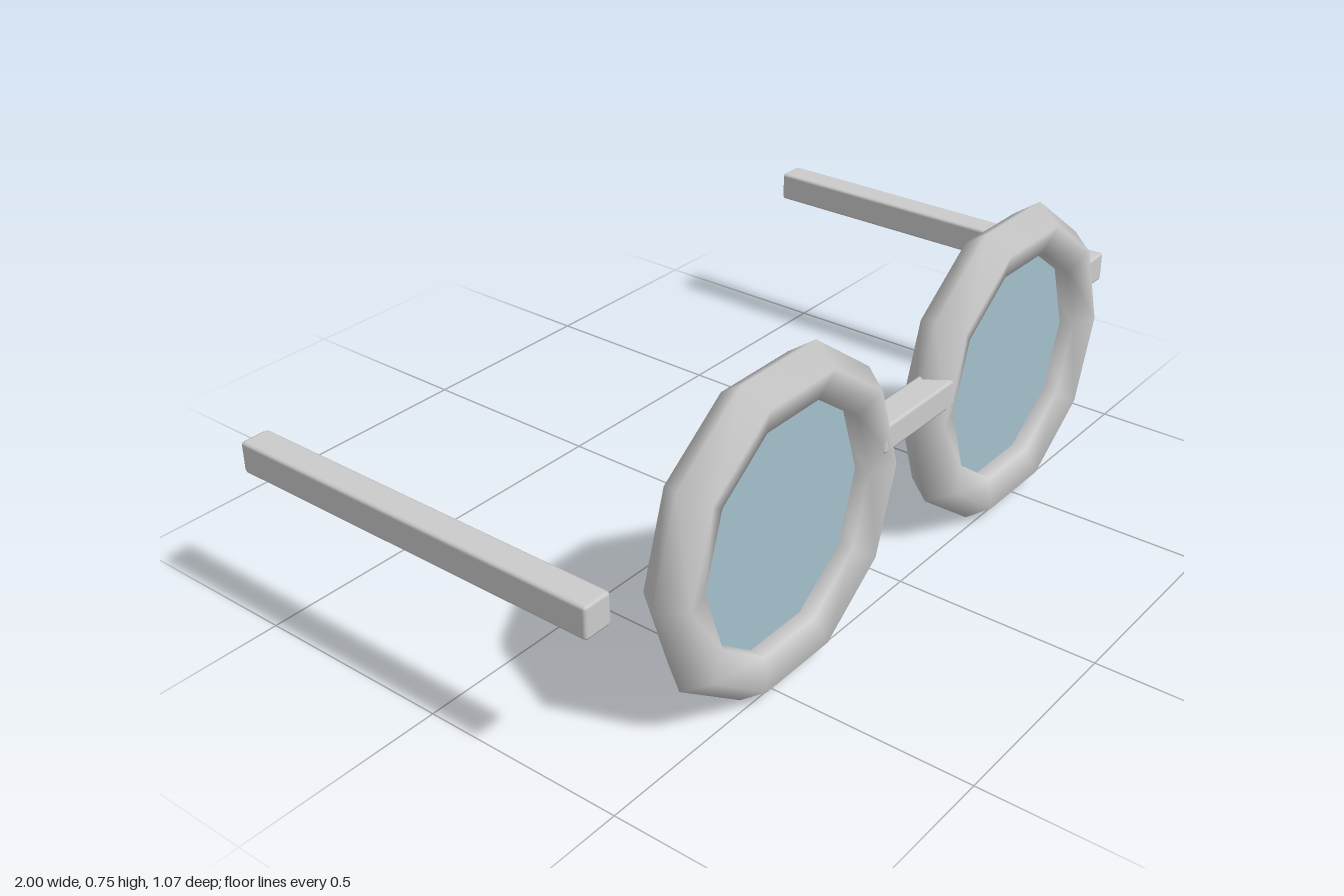
import * as THREE from 'three';
import { RoundedBoxGeometry } from 'three/addons/geometries/RoundedBoxGeometry.js';

export function createModel() {
  const group = new THREE.Group();
  const frame = new THREE.MeshStandardMaterial({ color: 0xcccccc });
  const glass = new THREE.MeshStandardMaterial({ color: 0xa3c0cb, side: THREE.DoubleSide });

  function add(name, geometry, material, x, y, z) {
    const mesh = new THREE.Mesh(geometry, material);
    mesh.name = name;
    mesh.position.set(x, y, z);
    group.add(mesh);
  }

  // Ten-sided rims with a five-sided tube, and chamfered bars
  const rim = new THREE.TorusGeometry(0.332, 0.063, 5, 10);
  const lens = new THREE.CircleGeometry(0.3, 10);
  const temple = new RoundedBoxGeometry(0.073, 0.076, 0.98, 1, 0.008);

  for (const [side, s] of [['left', 1], ['right', -1]]) {
    add(side + 'Rim', rim, frame, s * 0.45, 0.38, 0.475);
    add(side + 'Lens', lens, glass, s * 0.45, 0.38, 0.475);
    add(side + 'Temple', temple, frame, s * 0.9635, 0.428, -0.043);
  }

  // Bar joining the two rims
  add('bridge', new RoundedBoxGeometry(0.285, 0.068, 0.076, 1, 0.008), frame, 0, 0.453, 0.493);

  return group;
}
